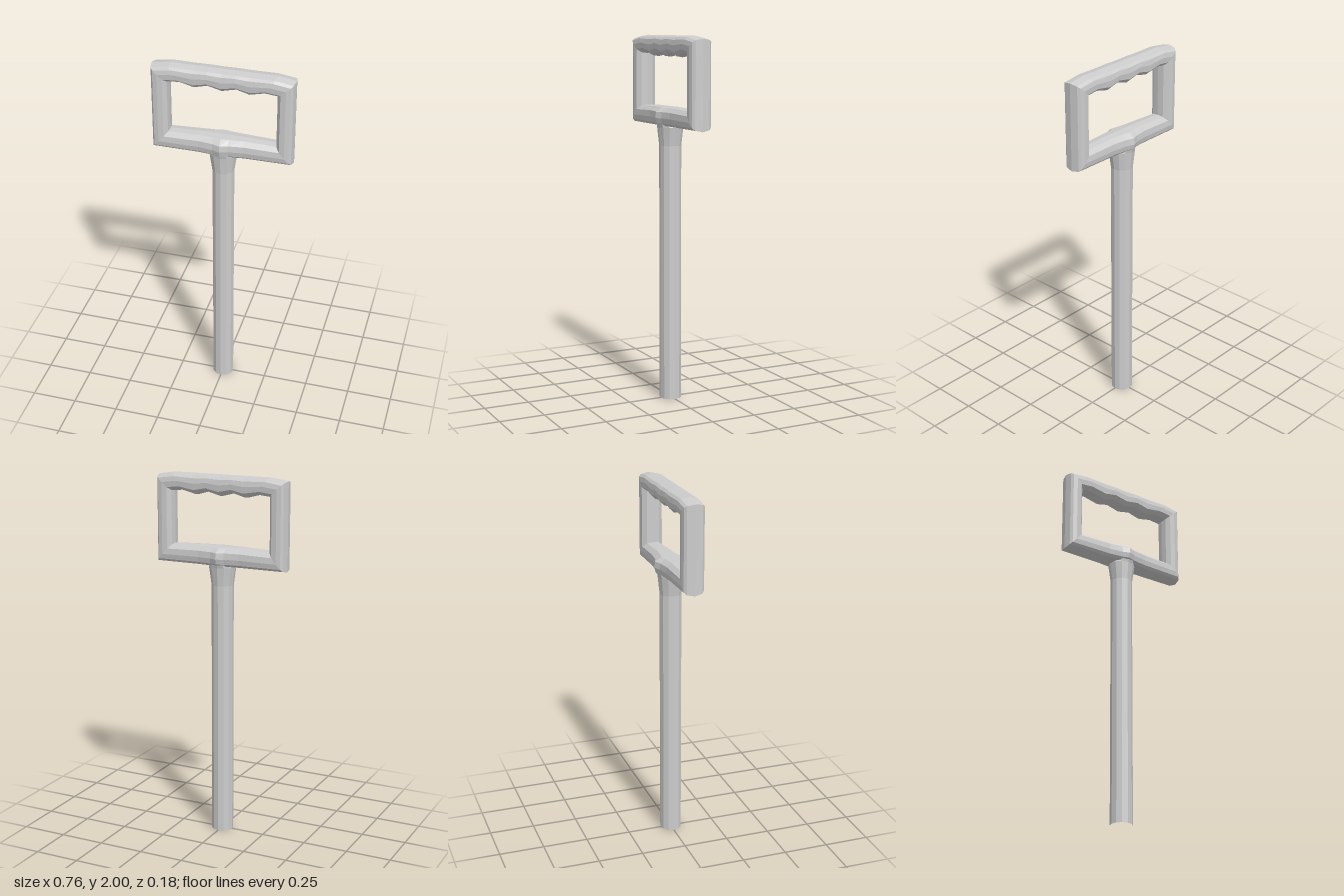
import * as THREE from 'three';

// Skins a list of equal-length closed rings; wrap joins the last ring to the first.
function loft(rings, wrap) {
  const n = rings[0].length, index = [];
  const last = wrap ? rings.length : rings.length - 1;
  for (let i = 0; i < last; i++) {
    const k = (i + 1) % rings.length;
    for (let j = 0; j < n; j++) {
      const m = (j + 1) % n;
      const a = i * n + j, b = k * n + j, c = k * n + m, d = i * n + m;
      index.push(a, b, c, a, c, d);
    }
  }
  const g = new THREE.BufferGeometry();
  g.setAttribute('position', new THREE.Float32BufferAttribute(rings.flat(2), 3));
  g.setIndex(index);
  const flat = g.toNonIndexed();
  flat.computeVertexNormals();
  return flat;
}

// Twelve-sided oval ring at height y
function oval(y, rx, rz) {
  return Array.from({ length: 12 }, (_, i) => {
    const a = (i / 12) * Math.PI * 2;
    return [-Math.sin(a) * rx, y, Math.cos(a) * rz];
  });
}

export function createModel() {
  const group = new THREE.Group();
  const grey = new THREE.MeshStandardMaterial({ color: 0xcccccc, flatShading: true });
  grey.name = 'grey';
  const add = (name, geometry) => {
    const mesh = new THREE.Mesh(geometry, grey);
    mesh.name = name;
    group.add(mesh);
  };

  // Straight hollow shaft, and the neck flaring into the lower bar
  add('shaft', loft([oval(0, 0.06, 0.06), oval(1.41, 0.06, 0.06)]));
  add('neck', loft([oval(1.41, 0.06, 0.06), oval(1.51, 0.075, 0.07), oval(1.56, 0.055, 0.084)]));

  // Grip stations: outer x, y, inner x, y, depth factor; anticlockwise from the front
  const stations = [];
  const lower = [[-0.12, 1.07], [-0.04, 1.25], [0, 1.5], [0.04, 1.25], [0.12, 1.07]];
  stations.push([-0.378, 1.51, -0.285, 1.615, 1]);
  for (const [x, depth] of lower) stations.push([x, 1.51, x, 1.622, depth]);
  stations.push([0.378, 1.51, 0.285, 1.615, 1]);
  stations.push([0.378, 1.985, 0.285, 1.9, 1]);
  // Upper bar with finger scallops underneath
  const upper = [[0.28, 0.22], [0.145, 0.145], [0.075, 0.075], [0, 0],
    [-0.075, -0.075], [-0.145, -0.145], [-0.28, -0.22]];
  upper.forEach(([xo, xi], i) => stations.push([xo, 2, xi, i % 2 ? 1.886 : 1.906, 1]));
  stations.push([-0.378, 1.985, -0.285, 1.9, 1]);

  // Half section: fraction from outer to inner edge, and depth; mirrored to the back
  const half = [[0, 0], [0.08, 0.042], [0.2, 0.055], [0.45, 0.06], [0.75, 0.057], [0.95, 0.034], [1, 0]];
  const section = [...half, ...half.slice(1, -1).reverse().map(([f, z]) => [f, -z])];
  const rings = stations.map(([xo, yo, xi, yi, depth]) =>
    section.map(([f, z]) => [xo + (xi - xo) * f, yo + (yi - yo) * f, z * depth]));
  add('gripFrame', loft(rings, true));

  return group;
}
